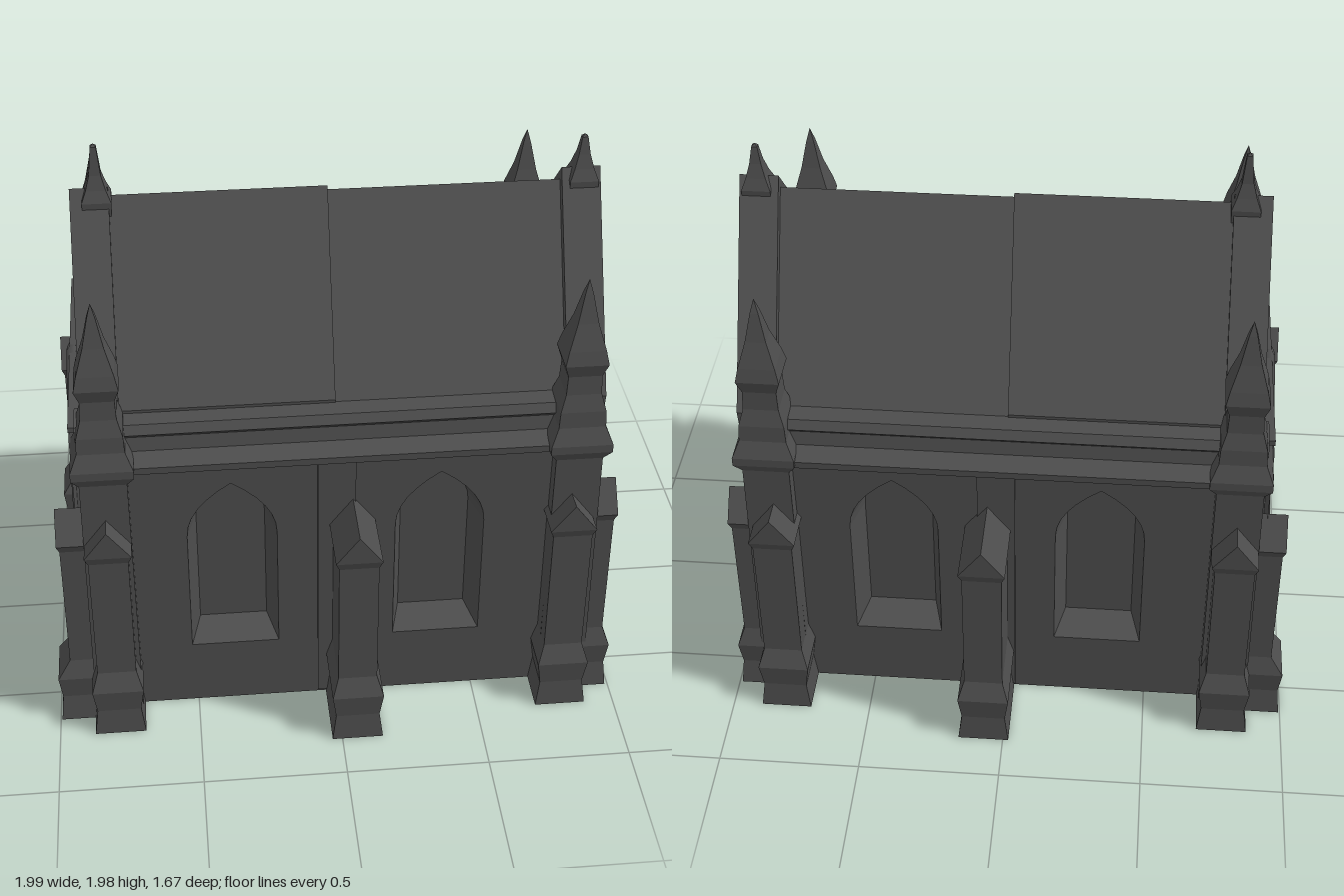
import * as THREE from 'three';

const stone = new THREE.MeshStandardMaterial({ color: 0x4c4c4c, side: THREE.DoubleSide });
stone.name = 'dark stone';

// Skin between rings of [x, y, z] points, with flat facets
function loft(rings) {
  const pos = [];
  for (let k = 0; k + 1 < rings.length; k++) {
    const a = rings[k], b = rings[k + 1], n = a.length;
    for (let i = 0; i < n; i++) {
      const j = (i + 1) % n;
      pos.push(...a[i], ...a[j], ...b[j], ...a[i], ...b[j], ...b[i]);
    }
  }
  const g = new THREE.BufferGeometry();
  g.setAttribute('position', new THREE.Float32BufferAttribute(pos, 3));
  g.computeVertexNormals();
  return g;
}

const ring = (y, x0, x1, z0, z1) => [[x1, y, z1], [x1, y, z0], [x0, y, z0], [x0, y, z1]];

// Square shaft from [height, half width] steps
const shaft = steps => loft(steps.map(([y, h]) => ring(y, -h, h, -h, h)));

const polygon = points => new THREE.Shape(points.map(p => new THREE.Vector2(...p)));

// The roof leans outwards with height, most at the +x end
function lean(g) {
  const p = g.attributes.position;
  for (let i = 0; i < p.count; i++) {
    const share = THREE.MathUtils.clamp((p.getX(i) + 0.75) / 1.6, 0, 1);
    p.setX(i, p.getX(i) + Math.max(0, p.getY(i) - 1.1) * 0.07 * share);
  }
  g.computeVertexNormals();
  return g;
}

// Inverted V band: apex height, vertical thickness, half span, from x0 to x1
function chevron(top, thick, span, x0, x1) {
  const low = top - span * 1.14;
  const apex = -0.015;
  const s = polygon([[-span, low], [-span, low - thick], [apex, top - thick],
    [span, low - thick], [span, low], [apex, top]]);
  const g = new THREE.ExtrudeGeometry(s, { depth: x1 - x0, bevelEnabled: false });
  return lean(g.rotateY(Math.PI / 2).translate(x0, 0, 0));
}

// Pointed arch outline, from the lower left corner round to the left springing
function archPoints(cx, half, y0, spring, apex, round) {
  const s = new THREE.Shape();
  s.moveTo(cx - half, y0);
  s.lineTo(cx + half, y0);
  s.lineTo(cx + half, spring);
  s.quadraticCurveTo(cx + half, spring + (apex - spring) * round, cx, apex);
  s.quadraticCurveTo(cx - half, spring + (apex - spring) * round, cx - half, spring);
  return s.getPoints(6);
}

export function createModel() {
  const model = new THREE.Group();
  const add = (name, geo, parent = model) => {
    const m = new THREE.Mesh(geo, stone);
    m.name = name;
    parent.add(m);
    return m;
  };

  // Wall facing +z with splayed, blind arched openings
  function wall(name, outline, openings, depth) {
    const g = new THREE.Group();
    g.name = name;
    const shape = polygon(outline);
    for (const o of openings) {
      const outer = archPoints(o.x, o.half, o.y0, o.spring, o.apex, o.round);
      const inner = archPoints(o.x, o.half - 0.035, o.y0 + 0.025, o.spring, o.apex - 0.05, o.round);
      shape.holes.push(new THREE.Path(outer));
      add(o.name + 'Reveal', loft([inner.map(p => [p.x, p.y, -depth]), outer.map(p => [p.x, p.y, 0])]), g);
      add(o.name + 'Panel', new THREE.ShapeGeometry(new THREE.Shape(inner)).translate(0, 0, -depth), g);
    }
    add(name + 'Face', new THREE.ShapeGeometry(shape), g);
    model.add(g);
    return g;
  }

  // Buttress projecting along +z with a spread foot and a small gabled cap
  function buttress(name, x, z, angle, inner, outer, foot) {
    const steps = [[0, 0.09, foot], [0.1, 0.077, foot - 0.01], [0.19, 0.09, foot], [0.26, 0.068, -0.01],
      [0.75, 0.068, -0.01], [0.78, 0.08, 0], [0.885, 0, 0]];
    const m = add(name, loft(steps.map(([y, h, e]) => ring(y, -h, h, inner, outer + e))));
    m.position.set(x, 0, z);
    m.rotation.y = angle;
  }

  // Long walls with windows, pilasters, buttresses and cornices
  for (const s of [1, -1]) {
    const side = s > 0 ? 'front' : 'back';
    const turn = s > 0 ? 0 : Math.PI;
    const centre = s > 0 ? 0 : 0.04;
    const face = s > 0 ? 0.58 : 0.56;
    const windows = [-0.36, 0.36].map(x => (
      { name: 'window', x: (x + centre) * s, half: 0.155, y0: 0.26, spring: 0.75, apex: 0.97, round: 0.55 }));
    const w = wall(side + 'Wall', [[-0.86, 0], [0.86, 0], [0.86, 1.1], [-0.86, 1.1]], windows, 0.13);
    w.position.z = face * s;
    w.rotation.y = turn;

    add(side + 'Pilaster', new THREE.BoxGeometry(0.13, 1.02, 0.03)).position.set(centre, 0.53, face * s);
    buttress(side + 'MiddleButtress', s > 0 ? 0.055 : 0.07, 0, turn, 0.54, 0.815, 0.02);

    const profile = [[0.45, 1.22], [0.55, 1.21], [0.57, 1.18], [0.55, 1.16], [0.56, 1.11],
      [0.625, 1.085], [0.625, 1.06], [0.57, 1.02], [0.45, 1.03]];
    const cornice = new THREE.ExtrudeGeometry(polygon(profile.map(([z, y]) => [-z * s, y])),
      { depth: 1.76, bevelEnabled: false });
    add(side + 'Cornice', cornice.rotateY(Math.PI / 2).translate(-0.87, 0, 0));
  }

  // End walls: plain on +x, arched doorway on -x, each below a gable
  for (const s of [1, -1]) {
    const side = s > 0 ? 'left' : 'right';
    const door = { name: 'doorway', x: 0, half: 0.36, y0: 0.05, spring: 0.62, apex: 1.14, round: 0.72 };
    const w = wall(side + 'EndWall', [[-0.55, 0], [0.55, 0], [0.55, 1.16], [-0.55, 1.16]],
      s > 0 ? [] : [door], 0.12);
    w.rotation.y = s * Math.PI / 2;
    w.position.x = s > 0 ? 0.885 : -0.89;

    const gable = new THREE.ShapeGeometry(polygon([[-0.52, 1.16], [0.52, 1.16], [0, 1.7]]));
    add(side + 'Gable', lean(gable.rotateY(s * Math.PI / 2).translate(s > 0 ? 0.885 : -0.82, 0, 0)));

    // Stepped gable coping
    const [o0, o1] = s > 0 ? [0.78, 0.912] : [-0.85, -0.72];
    add(side + 'Coping', chevron(1.815, 0.1, 0.53, o0, o1));
    add(side + 'CopingMoulding', chevron(1.73, 0.13, 0.5, o0 + 0.012, o1 - 0.012));

    // Ridge finial
    const top = s > 0 ? 1.94 : 1.98;
    const f = add(side + 'Finial', shaft([[1.68, 0.045], [1.78, 0.05], [1.82, 0.034], [1.87, 0.02],
      [top - 0.01, 0.01], [top, 0]]));
    f.position.set(s > 0 ? 0.9 : -0.76, 0, 0.015);
  }

  // Ledge, raised arch moulding and carved bosses on the door end
  add('doorLedge', new THREE.BoxGeometry(0.08, 0.02, 0.98)).position.set(-0.855, 1.16, 0);
  const path = archPoints(0, 0.385, 0, 0.62, 1.16, 0.72).slice(1).map(p => new THREE.Vector3(-0.885, p.y, p.x));
  path.push(new THREE.Vector3(-0.885, 0, -0.385));
  add('doorMoulding', new THREE.TubeGeometry(new THREE.CatmullRomCurve3(path, false, 'centripetal'), 40, 0.022, 6));
  for (const [y, z, r] of [[1.42, 0, 0.05], [1.28, 0.09, 0.04], [1.28, -0.09, 0.04]]) {
    add('carvedBoss', new THREE.IcosahedronGeometry(r, 0).scale(0.6, 1, 1)).position.set(-0.82, y, z);
  }

  // Corner piers with pinnacles, each flanked by two buttresses
  const pier = [[0, 0.085], [1.03, 0.08], [1.07, 0.105], [1.1, 0.105], [1.16, 0.08], [1.22, 0.077],
    [1.28, 0.06], [1.35, 0.057], [1.4, 0.073], [1.45, 0.062], [1.54, 0.035], [1.64, 0.014], [1.69, 0]];
  for (const sx of [1, -1]) {
    for (const sz of [1, -1]) {
      const z = sz > 0 ? 0.555 : -0.535;
      add('cornerPier', shaft(pier)).position.set(sx > 0 ? 0.82 : -0.785, 0, z);
      buttress('cornerButtress', sx > 0 ? 0.805 : -0.785, 0, sz > 0 ? 0 : Math.PI, 0.54, 0.71, 0.02);
      buttress('endButtress', 0, z, sx * Math.PI / 2, 0.8, sx > 0 ? 0.975 : 0.96, sx > 0 ? 0.015 : 0.035);
    }
  }

  // Roof in two slightly stepped halves
  add('roofRightHalf', chevron(1.785, 0.05, 0.49, -0.75, 0.0));
  add('roofLeftHalf', chevron(1.77, 0.05, 0.49, 0.0, 0.82));

  return model;
}
